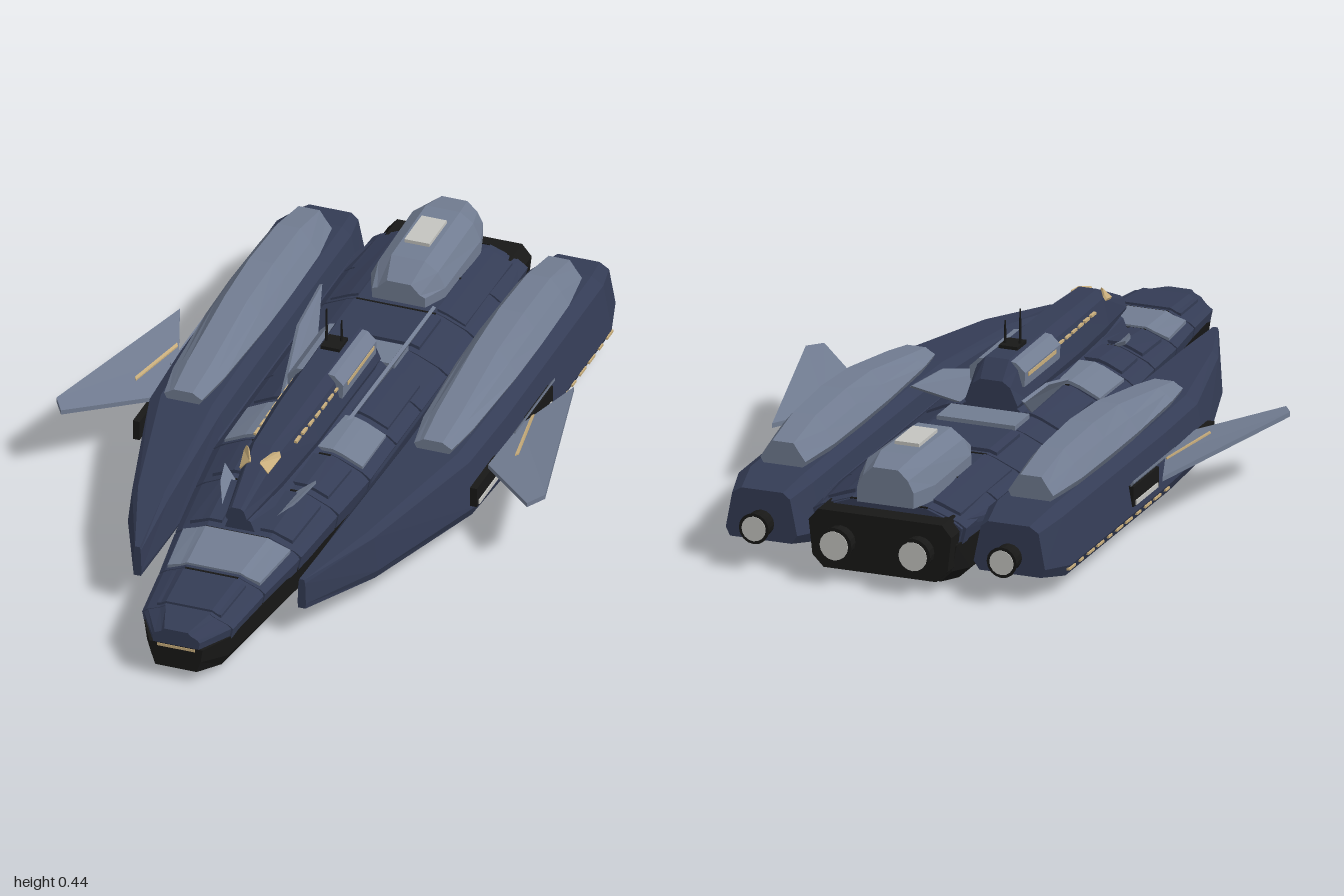
import * as THREE from 'three';

const paint = (name, color) => {
  const m = new THREE.MeshStandardMaterial({ color, flatShading: true });
  m.name = name;
  return m;
};

export function createModel() {
  const root = new THREE.Group();
  root.name = 'spaceship';
  const navy = paint('navy', 0x343c55), black = paint('black', 0x181817), grey = paint('grey', 0x717c91);
  const gold = paint('gold', 0xc9ae7c), white = paint('paleGrey', 0xc4c4c0);

  const add = (name, geo, mat) => {
    const m = new THREE.Mesh(geo, mat);
    m.name = name;
    root.add(m);
    return m;
  };
  const box = (name, mat, x, y, z, w, h, d) => add(name, new THREE.BoxGeometry(w, h, d).translate(x, y, z), mat);

  // Closed solid through equal-length rings of 3D points, always facing outwards
  function loft(name, mat, rings) {
    const tris = [], n = rings[0].length, last = rings[rings.length - 1];
    for (let r = 0; r < rings.length - 1; r++) for (let i = 0; i < n; i++) {
      const j = (i + 1) % n, a = rings[r], b = rings[r + 1];
      tris.push([a[i], b[i], a[j]], [b[i], b[j], a[j]]);
    }
    for (let i = 1; i < n - 1; i++)
      tris.push([rings[0][0], rings[0][i], rings[0][i + 1]], [last[0], last[i + 1], last[i]]);
    const v = (p) => new THREE.Vector3(...p);
    const volume = tris.reduce((s, t) => s + v(t[0]).dot(v(t[1]).cross(v(t[2]))), 0);
    if (volume < 0) tris.forEach((t) => t.reverse());
    const geo = new THREE.BufferGeometry();
    geo.setAttribute('position', new THREE.Float32BufferAttribute(tris.flat(2), 3));
    geo.computeVertexNormals();
    return add(name, geo, mat);
  }
  // Symmetric ring from its right half, listed bottom to top
  const sym = (z, half) => [...half.map(([x, y]) => [x, y, z]), ...half.slice().reverse().map(([x, y]) => [-x, y, z])];
  // Thin slab: polygon thickened by an offset
  const slab = (name, mat, pts, o) => loft(name, mat, [pts, pts.map((p) => p.map((c, i) => c + o[i]))]);
  // Value on a piecewise linear curve, keys in falling z
  const curve = (keys) => (z) => {
    for (let i = 1; i < keys.length; i++) if (z >= keys[i][0]) {
      const [a, p] = keys[i - 1], [b, q] = keys[i];
      return p + (q - p) * Math.min(1, Math.max(0, (a - z) / (a - b)));
    }
    return keys[keys.length - 1][1];
  };

  // Lower hull
  const keel = (z, w, y0, y1) => sym(z, [[w * 0.78, y0], [w * 0.93, y0 + 0.03], [w, y1]]);
  loft('lowerHull', black, [keel(1, 0.07, 0.03, 0.095), keel(0.92, 0.115, 0.015, 0.1), keel(0.56, 0.16, 0.008, 0.11),
    keel(0.2, 0.2, 0, 0.12), keel(-0.82, 0.2, 0, 0.12), keel(-0.92, 0.19, 0.02, 0.12)]);
  loft('engineBlock', black, [-0.87, -0.955].map((z) =>
    sym(z, [[0.15, 0.03], [0.18, 0.06], [0.19, 0.15], [0.165, 0.18]])));
  box('noseLight', gold, 0, 0.09, 0.999, 0.1, 0.007, 0.006);

  // Armoured upper hull, in overlapping deck sections
  const width = curve([[1, 0.065], [0.92, 0.12], [0.75, 0.14], [0.56, 0.168], [0.36, 0.19], [0.2, 0.207], [-0.82, 0.21], [-0.95, 0.2]]);
  const roof = curve([[1, 0.137], [0.92, 0.152], [0.58, 0.178], [0.4, 0.2], [0.15, 0.218], [-0.8, 0.212], [-0.95, 0.19]]);
  const deck = (z, k = 1) => {
    const w = width(z) * k, h = roof(z), b = curve([[1, 0.09], [0.5, 0.105], [0.2, 0.115], [-1, 0.115]])(z);
    return sym(z, [[w * 0.95, b], [w, b + (h - b) * 0.5], [w * 0.9, b + (h - b) * 0.66], [w * 0.62, h - 0.008], [w * 0.5, h]]);
  };
  const cuts = [1, 0.92, 0.75, 0.57, 0.37, 0.2, 0.02, -0.15, -0.33, -0.52, -0.7, -0.9];
  loft('hullCore', navy, cuts.map((z) => deck(z, 0.96)));
  for (let i = 1; i < cuts.length - 1; i++) {
    const a = cuts[i], b = cuts[i + 1] + 0.008;
    loft('deckSection', navy, [deck(a), deck(b)]);
    box('deckJoint', black, 0, roof(b) - 0.002, b - 0.004, width(b), 0.007, 0.006);
  }
  // Raised deck plates
  const plate = (name, mat, a, b, inner, outer, lift) => {
    for (const s of [1, -1]) {
      const at = (z, f) => {
        const w = width(z), b0 = 0.11, h = roof(z);
        const y = f <= 0.5 ? h : f <= 0.62 ? h - 0.008 * (f - 0.5) / 0.12
          : h - 0.008 + (b0 + (h - b0) * 0.66 - h + 0.008) * (f - 0.62) / 0.28;
        return [s * w * f, y + lift, z];
      };
      const fs = [inner, 0.5, 0.62, outer].filter((f) => f >= inner && f <= outer);
      const ring = (z) => [...fs.map((f) => at(z, f)), ...fs.slice().reverse().map((f) => {
        const p = at(z, f);
        return [p[0], p[1] - 0.02, z];
      })];
      loft(name, mat, [ring(a), ring(b)]);
    }
  };
  plate('forwardPlate', grey, 0.74, 0.58, 0, 0.86, 0.006);
  plate('nosePlate', navy, 0.91, 0.77, 0, 0.7, 0.006);
  plate('midPlate', grey, 0.19, 0.03, 0.3, 0.88, 0.009);
  plate('sidePlate', navy, 0.55, 0.39, 0.3, 0.8, 0.008);
  plate('sidePlate', navy, 0.35, 0.22, 0.3, 0.8, 0.009);
  plate('sidePlate', navy, 0, -0.22, 0.3, 0.85, 0.008);
  plate('rearPlate', grey, -0.235, -0.33, 0, 0.5, 0.012);
  plate('rearPlate', navy, -0.35, -0.5, 0, 0.6, 0.009);
  plate('rearPlate', navy, -0.53, -0.86, 0.5, 0.85, 0.007);

  // Command tower
  const tower = (z, w, y0, y1) => sym(z, [[w * 0.9, y0], [w, y0 + (y1 - y0) * 0.2], [w * 0.72, y1 - (y1 - y0) * 0.2], [w * 0.42, y1]]);
  loft('towerBase', navy, [tower(0.56, 0.04, 0.17, 0.215), tower(0.35, 0.075, 0.18, 0.23), tower(0, 0.1, 0.2, 0.24), tower(-0.23, 0.1, 0.2, 0.24)]);
  loft('tower', navy, [tower(0.585, 0.028, 0.22, 0.255), tower(0.4, 0.056, 0.222, 0.335), tower(0.2, 0.07, 0.225, 0.342),
    tower(-0.19, 0.075, 0.225, 0.345), tower(-0.23, 0.07, 0.225, 0.3)]);
  loft('bridge', grey, [0.04, -0.19].map((z) => sym(z, [[0.072, 0.278], [0.074, 0.315], [0.05, 0.338], [0.036, 0.34]])));
  box('antennaBase', black, 0, 0.345, -0.09, 0.05, 0.016, 0.06);
  for (const [x, z, top] of [[-0.02, -0.09, 0.443], [0.016, -0.1, 0.412]])
    add('antenna', new THREE.CylinderGeometry(0.002, 0.004, top - 0.345, 6).translate(x, (top + 0.345) / 2, z), black);

  // Rear dorsal block
  const hump = (z, w, y1) => sym(z, [[w, 0.2], [w, 0.24], [w * 0.8, y1 - 0.025], [w * 0.45, y1]]);
  loft('dorsalBlock', grey, [hump(-0.535, 0.07, 0.27), hump(-0.6, 0.098, 0.305), hump(-0.84, 0.1, 0.311), hump(-0.92, 0.075, 0.295)]);
  box('dorsalHatch', white, 0, 0.314, -0.72, 0.066, 0.009, 0.12);

  const engine = (x, y, r, front, back) => {
    const part = (name, r0, r1, a, b, mat) => add(name,
      new THREE.CylinderGeometry(r0, r1, a - b, 16).rotateX(Math.PI / 2).translate(x, y, (a + b) / 2), mat);
    part('engineNozzle', r * 0.85, r * 0.85, front, back, black);
    part('engineRim', r * 0.85, r, back + 0.025, back, black);
    part('engineGlow', r * 0.8, r * 0.8, back + 0.002, back - 0.002, white);
  };

  for (const s of [1, -1]) {
    // Side pod
    const pod = (z, i, o, y0, y1) => {
      const w = o - i, h = y1 - y0;
      return [[i + w * 0.08, y0], [o - w * 0.06, y0], [o, y0 + h * 0.17], [o - w * 0.09, y1 - h * 0.12], [o - w * 0.22, y1],
        [i + w * 0.2, y1], [i + w * 0.1, y1 - h * 0.12], [i, y0 + h * 0.17]].map(([x, y]) => [s * x, y, z]);
    };
    loft('sidePod', navy, [pod(0.7, 0.206, 0.228, 0.08, 0.162), pod(0.47, 0.208, 0.33, 0.06, 0.188), pod(0.08, 0.21, 0.443, 0.045, 0.212),
      pod(-0.15, 0.21, 0.453, 0.042, 0.215), pod(-0.82, 0.21, 0.453, 0.042, 0.215), pod(-0.92, 0.235, 0.425, 0.065, 0.195)]);
    // Pod canopy
    const cap = (z, w, y, y1, t) => [[-w * 0.75, 0.2], [w * 0.75, 0.2], [w, y], [w * 0.72, y + (y1 - y) * 0.5], [t, y1], [-t, y1],
      [-w * 0.72, y + (y1 - y) * 0.5], [-w, y]].map(([x, q]) => [s * (0.33 + x), q, z]);
    loft('podCanopy', grey, [cap(0.09, 0.05, 0.225, 0.24, 0.025), cap(-0.02, 0.068, 0.232, 0.26, 0.03), cap(-0.28, 0.082, 0.236, 0.302, 0.03),
      cap(-0.45, 0.084, 0.237, 0.31, 0.032), cap(-0.64, 0.08, 0.235, 0.303, 0.03), cap(-0.78, 0.06, 0.23, 0.275, 0.028)]);
    engine(s * 0.33, 0.11, 0.04, -0.91, -0.97);
    engine(s * 0.105, 0.105, 0.047, -0.94, -0.998);

    // Hangar bays and running lights
    for (const z of [0.03, -0.33]) {
      box('hangarBay', black, s * 0.445, 0.115, z, 0.018, 0.052, 0.165);
      box('hangarSill', white, s * 0.455, 0.097, z, 0.004, 0.012, 0.14);
    }
    for (let i = 0; i < 11; i++)
      box('podLight', gold, s * 0.45, 0.063, -0.19 - i * 0.062, 0.008, 0.006, i % 3 ? 0.042 : 0.025);
    for (let i = 0; i < 7; i++)
      box('towerLight', gold, s * (0.0535 + Math.min(i, 4) * 0.0008), 0.304, 0.3 - i * 0.043, 0.008, 0.006, 0.03);
    box('bridgeLight', gold, s * 0.073, 0.306, -0.08, 0.005, 0.01, 0.18);
    // Tower front windows
    slab('towerWindow', gold, [[s * 0.012, 0.312, 0.455], [s * 0.036, 0.29, 0.46], [s * 0.047, 0.306, 0.4], [s * 0.042, 0.318, 0.395],
      [s * 0.03, 0.324, 0.415], [s * 0.012, 0.315, 0.45]], [s * 0.002, 0.005, 0.004]);

    // Wing with light strip
    slab('wing', grey, [[s * 0.452, 0.152, -0.2], [s * 0.52, 0.168, -0.385], [s * 0.645, 0.182, 0.14], [s * 0.615, 0.178, 0.187],
      [s * 0.445, 0.152, 0.01]], [0, -0.012, 0]);
    slab('wingLight', gold, [[s * 0.466, 0.157, -0.3 + 0.07], [s * 0.472, 0.159, -0.24], [s * 0.507, 0.166, -0.04], [s * 0.5, 0.165, -0.03]], [0, 0.004, 0]);
    slab('wingRootBlade', grey, [[s * 0.448, 0.15, -0.42], [s * 0.456, 0.16, -0.42], [s * 0.456, 0.16, -0.15], [s * 0.448, 0.15, -0.15]], [0, -0.008, 0]);

    // Canted dorsal fin and small forward fin
    slab('dorsalFin', grey, [[s * 0.08, 0.215, 0.09], [s * 0.09, 0.22, -0.2], [s * 0.146, 0.318, -0.39], [s * 0.137, 0.305, -0.21]], [s * 0.008, -0.004, 0]);
    slab('forwardFin', grey, [[s * 0.055, 0.185, 0.53], [s * 0.08, 0.205, 0.38], [s * 0.12, 0.228, 0.35], [s * 0.105, 0.218, 0.42]], [0, -0.01, 0]);
    // Deck edge trim
    slab('edgeTrim', navy, [[s * 0.2, 0.16, 0.2], [s * 0.214, 0.163, 0.15], [s * 0.214, 0.163, -0.8], [s * 0.19, 0.168, -0.86]], [0, -0.014, 0]);
  }

  // Centre and stand the model
  const bounds = new THREE.Box3().setFromObject(root);
  const c = bounds.getCenter(new THREE.Vector3());
  root.children.forEach((m) => m.geometry.translate(-c.x, -bounds.min.y, -c.z));
  return root;
}
